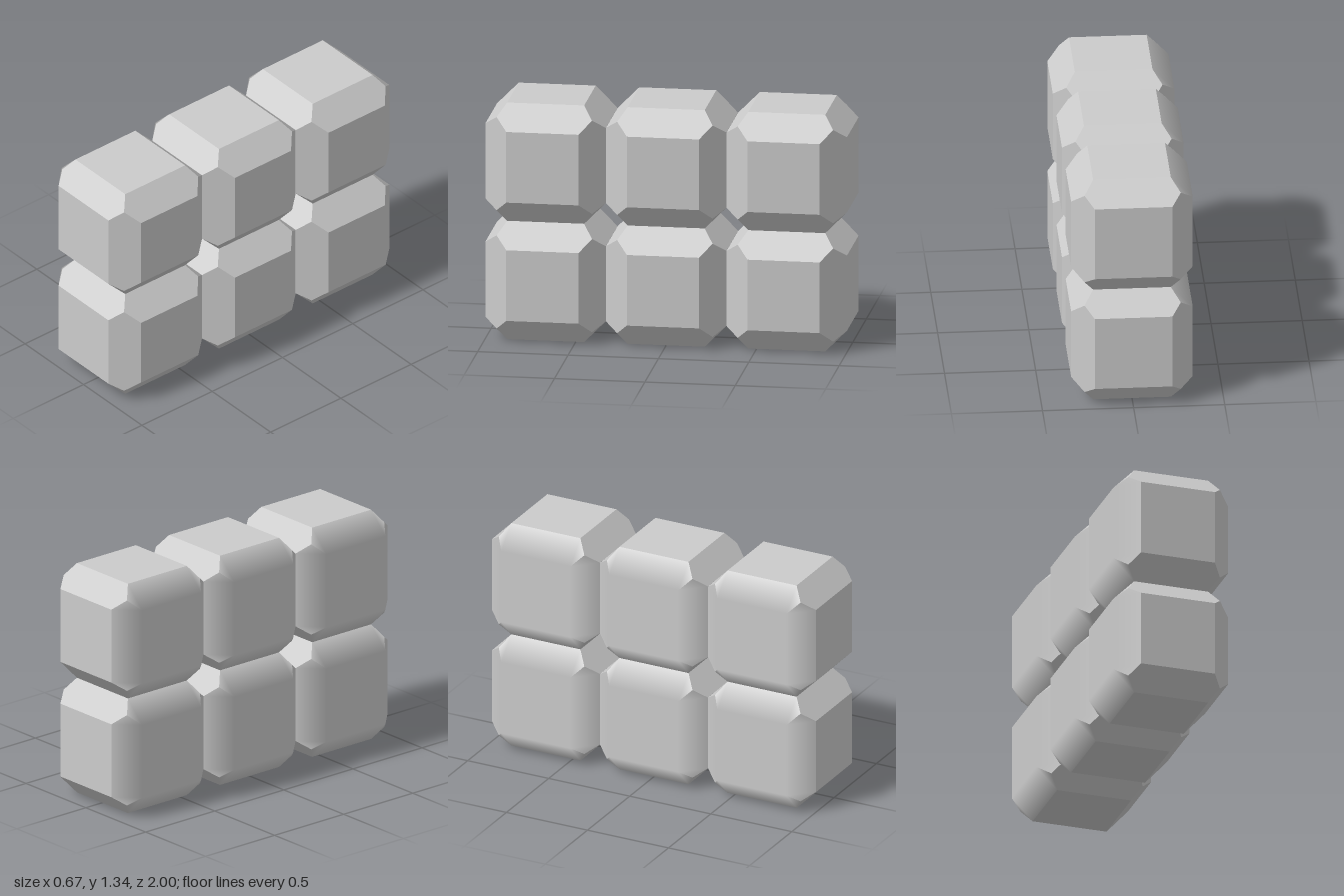
import * as THREE from 'three';

const HALF = [0.333, 0.335, 0.333]; // half size of one block
const CORNER = 0.264;               // where three bevels meet
// half width of each flat face; the +x face is a little smaller
const inset = (axis, sign) => (axis === 0 && sign > 0 ? 0.2 : 0.213);

// Corner of the flat face on the given side, towards the octant s
function facePoint(axis, s) {
  const k = inset(axis, s[axis]);
  return new THREE.Vector3(...s.map((v, i) => v * (i === axis ? HALF[i] : k)));
}

// Cube whose edges are cut by hexagonal bevels that meet in one point per corner
function bevelledBlock() {
  const positions = [], normals = [];

  function addPolygon(points, triangles, normal, vertexNormals) {
    const [p, q, r] = triangles[0].map((i) => points[i]);
    const turn = q.clone().sub(p).cross(r.clone().sub(p));
    const flip = turn.dot(normal) < 0;
    for (const t of triangles) {
      for (const i of flip ? [t[0], t[2], t[1]] : t) {
        positions.push(...points[i].toArray());
        normals.push(...(vertexNormals?.[i] ?? normal).toArray());
      }
    }
  }

  for (let a = 0; a < 3; a++) {
    const b = (a + 1) % 3, c = (a + 2) % 3;
    const signs = (sa, sb, sc) => {
      const s = [0, 0, 0];
      s[a] = sa; s[b] = sb; s[c] = sc;
      return s;
    };

    for (const sa of [-1, 1]) {
      // flat face
      const quad = [[-1, -1], [1, -1], [1, 1], [-1, 1]].map(([u, v]) => facePoint(a, signs(sa, u, v)));
      addPolygon(quad, [[0, 1, 2], [0, 2, 3]], new THREE.Vector3(...signs(sa, 0, 0)));

      // bevels between the faces on axes a and b, running along c
      for (const sb of [-1, 1]) {
        const lo = signs(sa, sb, -1), hi = signs(sa, sb, 1);
        const corner = (s) => new THREE.Vector3(...s).multiplyScalar(CORNER);
        const hex = [facePoint(a, lo), corner(lo), facePoint(b, lo), facePoint(b, hi), corner(hi), facePoint(a, hi)];
        const normal = hex[3].clone().sub(hex[0]).cross(hex[5].clone().sub(hex[2])).normalize();
        if (normal.dot(hex[0]) < 0) normal.negate();
        // bevels around the -x face blend smoothly into it
        const soft = hex.map((_, i) => {
          const axis = i === 0 || i === 5 ? a : i === 2 || i === 3 ? b : -1;
          return axis === 0 && lo[0] < 0 ? new THREE.Vector3(-1, 0, 0) : normal;
        });
        addPolygon(hex, [[0, 2, 3], [0, 3, 5], [0, 1, 2], [3, 4, 5]], normal, soft);
      }
    }
  }

  const geometry = new THREE.BufferGeometry();
  geometry.setAttribute('position', new THREE.Float32BufferAttribute(positions, 3));
  geometry.setAttribute('normal', new THREE.Float32BufferAttribute(normals, 3));
  return geometry;
}

export function createModel() {
  const group = new THREE.Group();
  group.name = 'blockWall';
  const geometry = bevelledBlock();
  const material = new THREE.MeshStandardMaterial({ color: 0xcccccc });

  // two rows of three blocks
  ['lower', 'upper'].forEach((row, j) => {
    ['Back', 'Middle', 'Front'].forEach((place, k) => {
      const block = new THREE.Mesh(geometry, material);
      block.name = `${row}${place}Block`;
      block.position.set(0, HALF[1] * (2 * j + 1), (k - 1) * 0.667);
      group.add(block);
    });
  });
  return group;
}
